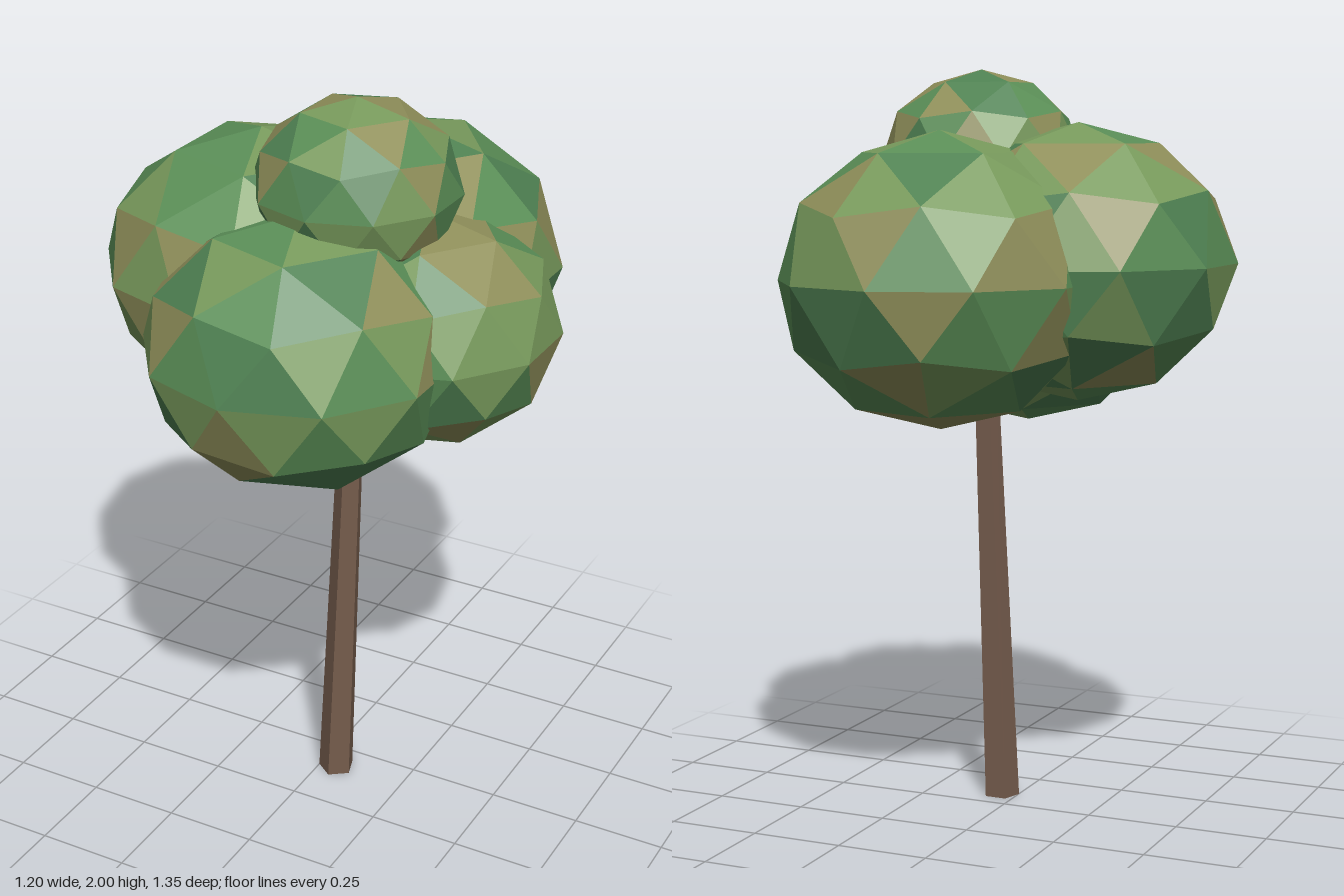
import * as THREE from 'three';

const flat = (color) => new THREE.MeshStandardMaterial({ color, flatShading: true });

// Small seeded generator, for choosing leaf shades
function seeded(seed) {
  let s = seed;
  return () => (s = (s * 16807) % 2147483647) / 2147483647;
}

// Faceted ball standing on a pole vertex, its facets sorted into one group per leaf shade
function foliageGeometry(rand, shades) {
  const geo = new THREE.IcosahedronGeometry(1, 1);
  geo.rotateZ(-Math.atan(2 / (1 + Math.sqrt(5))));
  const src = geo.attributes.position;
  const buckets = Array.from({ length: shades }, () => []);
  for (let i = 0; i < src.count; i += 3) {
    buckets[Math.floor(rand() * shades)].push(i, i + 1, i + 2);
  }
  geo.setIndex(buckets.flat());
  let start = 0;
  buckets.forEach((b, shade) => {
    geo.addGroup(start, b.length, shade);
    start += b.length;
  });
  return geo;
}

export function createModel() {
  const tree = new THREE.Group();
  tree.name = 'tree';

  // Leaning five-sided trunk, its top hidden in the foliage
  const height = 1.3;
  const trunkGeo = new THREE.CylinderGeometry(0.033, 0.05, height, 5);
  trunkGeo.translate(0, height / 2, 0);
  const p = trunkGeo.attributes.position;
  for (let i = 0; i < p.count; i++) {
    const t = p.getY(i) / height;
    p.setX(i, p.getX(i) + 0.047 + 0.046 * t);
    p.setZ(i, p.getZ(i) + 0.086 - 0.012 * t);
  }
  const trunk = new THREE.Mesh(trunkGeo, flat(0x755c4c));
  trunk.name = 'trunk';
  tree.add(trunk);

  // Foliage balls: name, centre, horizontal radius, vertical radius
  const shades = [0x5b8f57, 0x4f8152, 0x789a5c, 0x8f8f5a].map(flat);
  const balls = [
    ['frontFoliage', [0.043, 1.393, 0.267], 0.408, 0.356],
    ['backFoliage', [0.07, 1.455, -0.25], 0.425, 0.385],
    ['rightFoliage', [-0.2, 1.494, 0.03], 0.42, 0.366],
    ['leftFoliage', [0.272, 1.405, 0.01], 0.345, 0.305],
    ['topFoliage', [0.1, 1.765, 0.077], 0.27, 0.235],
  ];
  const rand = seeded(4217);
  for (const [name, centre, r, ry] of balls) {
    const ball = new THREE.Mesh(foliageGeometry(rand, shades.length), shades);
    ball.name = name;
    ball.position.set(...centre);
    ball.scale.set(r, ry, r);
    tree.add(ball);
  }
  return tree;
}
